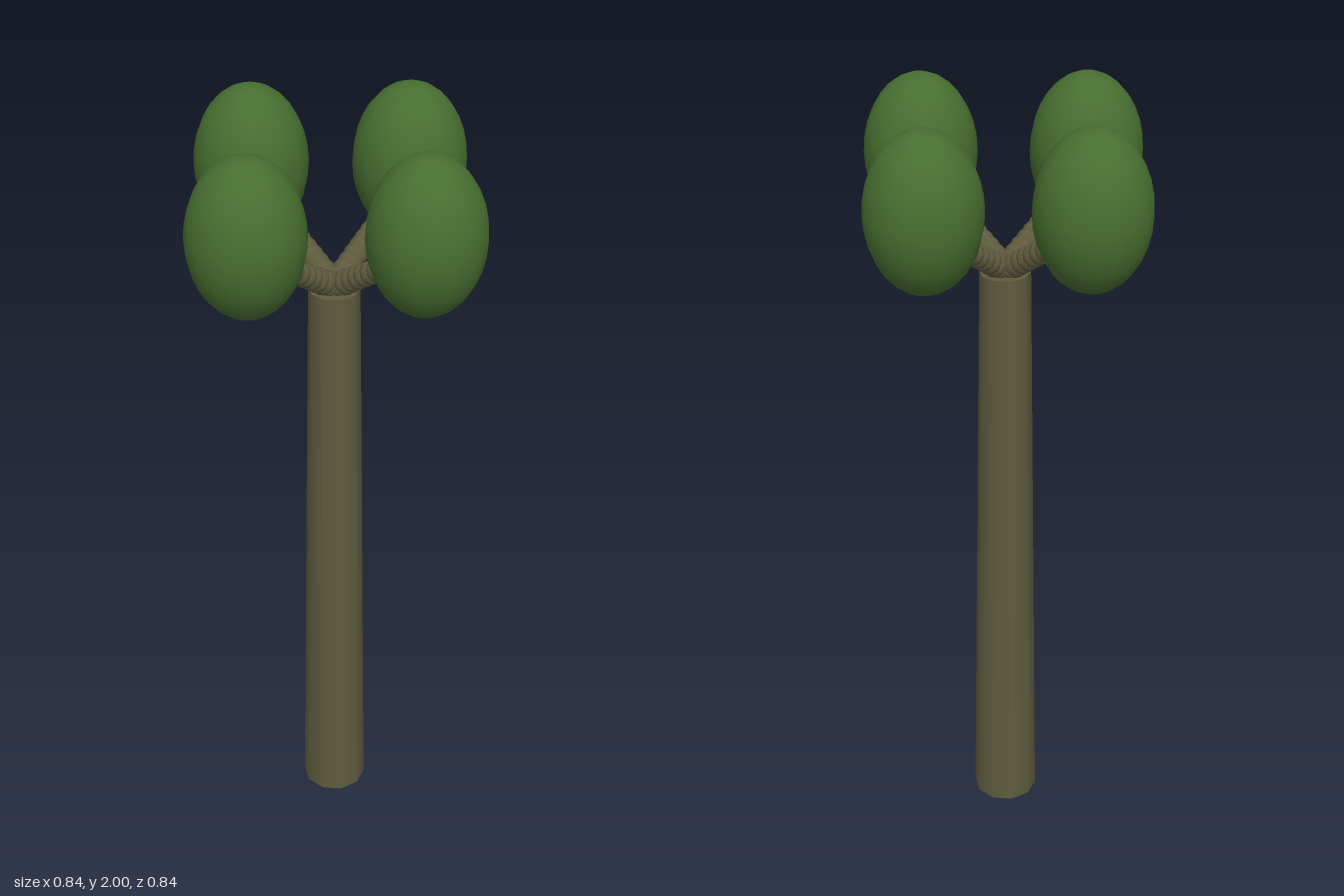
import * as THREE from 'three';

export function createModel() {
  const bark = new THREE.MeshStandardMaterial({ color: 0x5e5b3e });
  bark.name = 'bark';
  const leaf = new THREE.MeshStandardMaterial({ color: 0x476e30 });
  leaf.name = 'leaf green';

  const tree = new THREE.Group();
  tree.name = 'tree';
  const add = (parent, name, geometry, material) => {
    const mesh = new THREE.Mesh(geometry, material);
    mesh.name = name;
    parent.add(mesh);
    return mesh;
  };

  // Tall tapered trunk
  const height = 1.57;
  add(tree, 'trunk', new THREE.CylinderGeometry(0.063, 0.085, height, 10), bark)
    .position.y = height / 2;

  // Four leaf crowns, each carried by a knobbly branch
  const crownGeometry = new THREE.SphereGeometry(0.139, 20, 16);
  crownGeometry.rotateY(Math.PI / 20);
  crownGeometry.scale(1, 1.4, 1);
  const knobGeometry = new THREE.SphereGeometry(1, 10, 8);
  const crowns = [
    ['front', -0.01, 0.281],
    ['back', 0.022, -0.282],
    ['left', 0.28, -0.001],
    ['right', -0.281, -0.018],
  ];
  const knobs = 11;

  for (const [side, x, z] of crowns) {
    add(tree, side + ' crown', crownGeometry, leaf).position.set(x, 1.805, z);

    const branch = new THREE.Group();
    branch.name = side + ' branch';
    tree.add(branch);
    const start = new THREE.Vector3(0, 1.575, 0);
    const end = new THREE.Vector3(x * 0.69, 1.705, z * 0.69);
    const lean = new THREE.Quaternion().setFromUnitVectors(
      new THREE.Vector3(0, 1, 0), end.clone().sub(start).normalize());
    for (let i = 0; i < knobs; i++) {
      const t = i / (knobs - 1);
      const knob = add(branch, 'branch knob', knobGeometry, bark);
      knob.position.lerpVectors(start, end, t);
      knob.quaternion.copy(lean);
      knob.scale.setScalar(0.034 - 0.008 * t);
    }
  }
  return tree;
}
